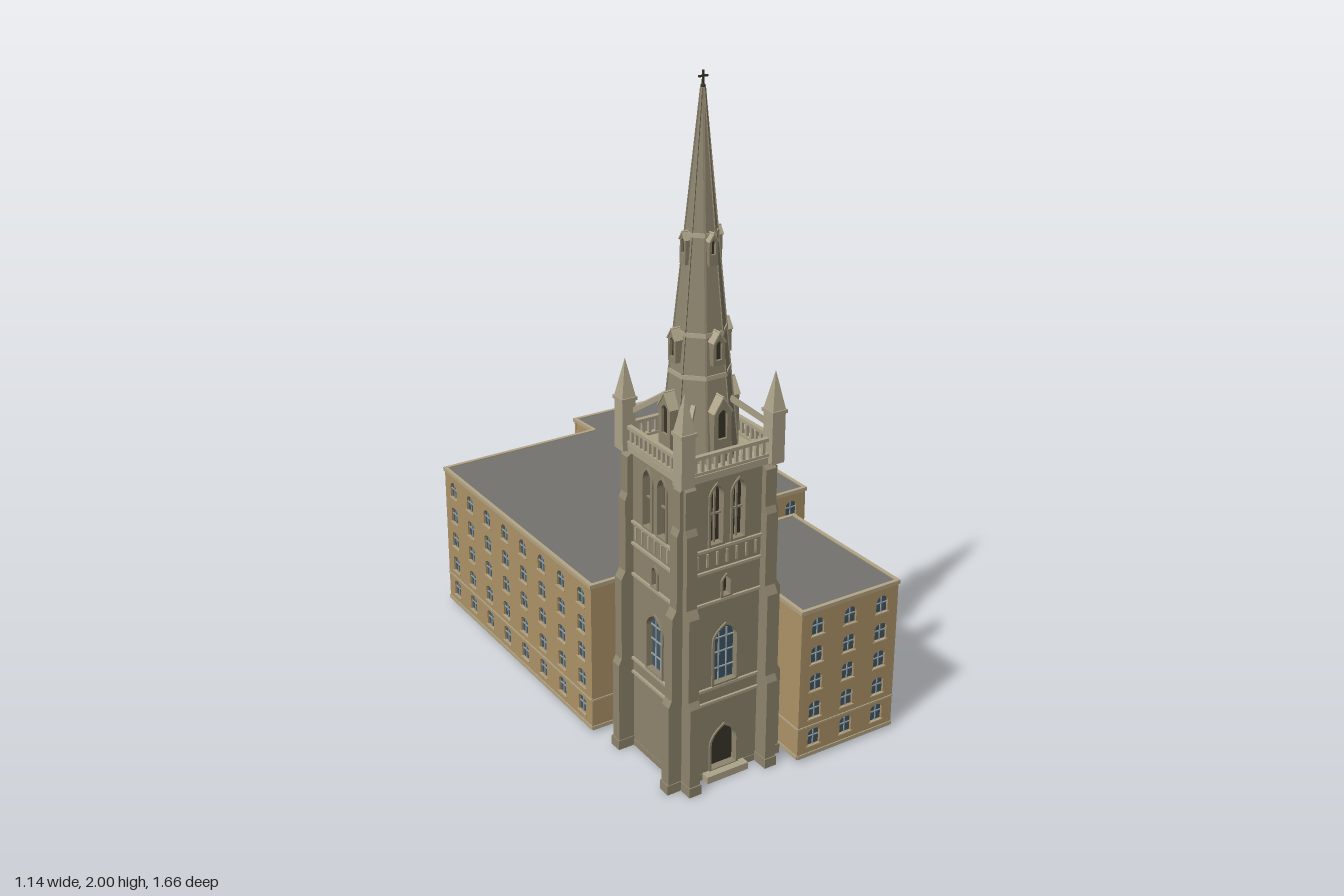
import * as THREE from 'three';
import { mergeGeometries } from 'three/addons/utils/BufferGeometryUtils.js';

const mat = (color, side = THREE.FrontSide) => new THREE.MeshStandardMaterial({ color, side, flatShading: true });
const M = {
  brick: mat(0xae9468), cornice: mat(0xb3a585), roof: mat(0x747370, THREE.DoubleSide),
  glass: mat(0x3f5768, THREE.DoubleSide), bars: mat(0x9aa3a3), stone: mat(0x8f866f),
  trim: mat(0xaea48a), dark: mat(0x39342a, THREE.DoubleSide),
};
const TURN = 0.288; // the whole plan is turned on the site

function box(w, h, d, x = 0, y = 0, z = 0) {
  return new THREE.BoxGeometry(w, h, d).translate(x, y, z);
}
// Joins a list of geometries into one named mesh
function add(parent, name, material, list) {
  const flat = list.map(g => (g.index ? g.toNonIndexed() : g));
  const mesh = new THREE.Mesh(mergeGeometries(flat), material);
  mesh.name = name;
  parent.add(mesh);
  return mesh;
}
function extrude(shape, depth, z = 0) {
  return new THREE.ExtrudeGeometry(shape, { depth, bevelEnabled: false, curveSegments: 6 }).translate(0, 0, z);
}
// Arched outline: o = { x, y, w, h, rise, pointed }, y is the sill
function arch(Kind, { x, y, w, h, rise, pointed }, grow = 0) {
  const p = new Kind(), r = w / 2 + grow, s = y + h - rise, top = y + h + grow;
  p.moveTo(x - r, y - grow);
  p.lineTo(x + r, y - grow);
  p.lineTo(x + r, s);
  if (pointed) {
    p.quadraticCurveTo(x + r, s + rise * 0.6, x, top);
    p.quadraticCurveTo(x - r, s + rise * 0.6, x - r, s);
  } else p.absellipse(x, s, r, top - s, 0, Math.PI, false);
  p.closePath();
  return p;
}
// Wall panel with arched holes, its outside at z = 0
function panel(x0, x1, y0, y1, openings, depth) {
  const s = new THREE.Shape();
  s.moveTo(x0, y0); s.lineTo(x1, y0); s.lineTo(x1, y1); s.lineTo(x0, y1); s.closePath();
  s.holes = openings.map(o => arch(THREE.Path, o));
  return extrude(s, depth, -depth);
}
const pane = (o, z) => new THREE.ShapeGeometry(arch(THREE.Shape, o), 6).translate(0, 0, z);
function frame(o, grow, depth) {
  const s = arch(THREE.Shape, o, grow);
  s.holes = [arch(THREE.Path, o)];
  return extrude(s, depth, -0.001);
}

// ---- Office block ----
const PLAN = [[-0.297, 0.441], [0.114, 0.323], [0.231, 0.751], [0.563, 0.655], [0.419, 0.179], [0.24, 0.231],
  [0.205, 0.1], [0.524, 0.009], [0.279, -0.825], [-0.057, -0.729], [-0.017, -0.62], [-0.563, -0.458]];

function facade(a, b, blank) {
  const g = new THREE.Group(), dx = b[0] - a[0], dz = b[1] - a[1], L = Math.hypot(dx, dz);
  g.name = 'facade';
  g.position.set(a[0], 0, a[1]);
  g.rotation.y = Math.atan2(-dz, dx);
  const windows = [], n = Math.max(1, Math.round(L / 0.122));
  for (let i = 0; i < n && !blank; i++)
    for (let r = 0; r < 5; r++)
      windows.push({ x: (i + 0.5) * L / n, y: 0.044 + r * 0.091, w: 0.042, h: 0.054, rise: r === 4 ? 0.02 : 0.012 });
  add(g, 'wall', M.brick, [panel(0, L, 0.01, 0.494, windows, 0.01)]);
  add(g, 'cornice', M.cornice, [
    box(L + 0.008, 0.012, 0.012, L / 2, 0.492, -0.002), box(L, 0.005, 0.006, L / 2, 0.112, 0),
    box(L, 0.012, 0.006, L / 2, 0.017, 0)]);
  if (blank) return g;
  add(g, 'windowPanes', M.glass, windows.map(o => pane(o, -0.007)));
  add(g, 'windowBars', M.bars, windows.flatMap(o => [
    box(0.003, o.h, 0.003, o.x, o.y + o.h / 2, -0.005), box(o.w, 0.003, 0.003, o.x, o.y + o.h * 0.55, -0.005)]));
  add(g, 'windowSills', M.cornice, windows.map(o => box(o.w + 0.008, 0.004, 0.006, o.x, o.y - 0.002, 0)));
  return g;
}

function officeBlock() {
  const g = new THREE.Group();
  g.name = 'officeBlock';
  PLAN.forEach((a, i) => g.add(facade(a, PLAN[(i + 1) % PLAN.length], i < 2)));
  const roof = new THREE.Shape(PLAN.map(([x, z]) => new THREE.Vector2(x, -z)));
  add(g, 'roof', M.roof, [new THREE.ShapeGeometry(roof).rotateX(-Math.PI / 2).translate(0, 0.495, 0)]);
  // Plant rooms on the roof
  for (const [x, z, w, d, top] of [[0.245, -0.347, 0.182, 0.123, 0.565], [0.057, 0.026, 0.09, 0.09, 0.535]])
    add(g, 'plantRoom', M.roof, [box(w, top - 0.49, d).rotateY(TURN).translate(x, (top + 0.49) / 2, z)]);
  return g;
}

// ---- Church tower ----
const HALF = 0.14;

function towerSide(k) {
  const g = new THREE.Group();
  g.name = 'towerSide';
  g.rotation.y = k * Math.PI / 2;
  const face = new THREE.Group();
  face.name = 'towerFace';
  face.position.z = HALF;
  g.add(face);
  const belfry = [-0.036, 0.036].map(x => ({ x, y: 0.745, w: 0.04, h: 0.175, rise: 0.035, pointed: true }));
  const slit = { x: 0, y: 0.578, w: 0.024, h: 0.06, rise: 0.018, pointed: true };
  const tall = { x: 0, y: 0.305, w: 0.075, h: 0.18, rise: 0.045, pointed: true };
  const door = { x: 0, y: 0.025, w: 0.085, h: 0.135, rise: 0.055, pointed: true };
  const hasWindow = k === 0 || k === 3, hasDoor = k === 0;
  const openings = [...belfry, slit, ...(hasWindow ? [tall] : []), ...(hasDoor ? [door] : [])];
  add(face, 'towerWall', M.stone, [panel(-HALF, HALF, 0, 0.95, openings, 0.022)]);
  add(face, 'archSurrounds', M.stone, openings.map(o => frame(o, 0.007, 0.006)));
  add(face, 'darkOpenings', M.dark, openings.filter(o => o !== tall).map(o => pane(o, -0.018)));
  add(face, 'belfryTracery', M.stone, belfry.flatMap(o => [box(0.005, o.h, 0.006, o.x, o.y + o.h / 2, -0.011),
    box(o.w, 0.005, 0.006, o.x, o.y + 0.085, -0.011)]));
  if (hasWindow) {
    add(face, 'tallWindow', M.glass, [pane(tall, -0.015)]);
    add(face, 'tallWindowBars', M.bars, [
      ...[-0.013, 0.013].map(x => box(0.003, 0.165, 0.004, x, 0.385, -0.012)),
      ...[0.345, 0.395, 0.44].map(y => box(0.075, 0.003, 0.004, 0, y, -0.012))]);
  }
  if (hasDoor) add(face, 'doorStep', M.trim, [box(0.14, 0.022, 0.03, 0, 0.011, 0.012)]);
  // String courses and the ribbed frieze below the belfry
  add(face, 'stringCourses', M.trim, [
    ...[0.25, 0.295, 0.568, 0.665, 0.732].map(y => box(0.285, 0.008, 0.014, 0, y, 0)),
    ...[-3, -2, -1, 0, 1, 2, 3].map(i => box(0.006, 0.04, 0.008, i * 0.032, 0.7, 0))]);
  // Stepped buttress pair
  const steps = [[-0.01, 0], [0.05, 0], [0.05, 0.28], [0.04, 0.3], [0.04, 0.555], [0.026, 0.58],
    [0.026, 0.8], [0.018, 0.82], [0.018, 0.93], [-0.01, 0.95]];
  const profile = new THREE.Shape(steps.map(p => new THREE.Vector2(...p)));
  const feet = [-1, 1].map(s => s * 0.13);
  add(face, 'buttresses', M.stone, feet.map(x => extrude(profile, 0.034, -0.017).rotateY(-Math.PI / 2).translate(x, 0, 0)));
  add(face, 'buttressFeet', M.stone, feet.map(x => box(0.04, 0.03, 0.06, x, 0.015, 0.024)));
  // Parapet balustrade
  const rail = [box(0.3, 0.01, 0.014, 0, 1.015, 0.005), box(0.3, 0.008, 0.014, 0, 0.97, 0.005)];
  for (let i = -5; i <= 5; i++) rail.push(box(0.009, 0.05, 0.009, i * 0.022, 0.992, 0.005));
  add(face, 'balustrade', M.trim, rail);

  // Corner pinnacle with its flying strut to the spire
  const c = 0.145, strut = box(0.012, 0.014, 0.135).rotateX(0.55).rotateY(Math.PI / 4).translate(0.1, 1.085, 0.1);
  add(g, 'pinnacle', M.trim, [box(0.042, 0.15, 0.042, c, 1.02, c), box(0.05, 0.01, 0.05, c, 1.095, c),
    new THREE.ConeGeometry(0.03, 0.11, 4).rotateY(Math.PI / 4).translate(c, 1.155, c)]);
  add(g, 'flyingStrut', M.trim, [strut]);

  // Gabled dormers climbing the spire: base y, width, height, front distance, depth
  for (const [y, w, h, out, depth] of [[0.965, 0.056, 0.185, 0.112, 0.05], [1.235, 0.036, 0.09, 0.09, 0.05], [1.5, 0.026, 0.085, 0.058, 0.035]]) {
    const r = w / 2, eave = y + h - w * 0.75;
    const gable = new THREE.Shape([[-r, y], [r, y], [r, eave], [0, y + h], [-r, eave]].map(p => new THREE.Vector2(...p)));
    const lo = Math.max(y + 0.012, eave - w * 1.35);
    const hole = { x: 0, y: lo, w: w * 0.5, h: eave + w * 0.15 - lo, rise: w * 0.3, pointed: true };
    gable.holes = [arch(THREE.Path, hole)];
    add(g, 'spireDormer', M.stone, [extrude(gable, depth, out - depth)]);
    add(g, 'dormerOpening', M.dark, [pane(hole, out - 0.008)]);
    // Coping along the two gable slopes
    const len = Math.hypot(r, w * 0.75), tilt = Math.atan2(w * 0.75, r);
    add(g, 'dormerCoping', M.trim, [-1, 1].map(s => box(len + 0.006, 0.004, depth)
      .rotateZ(-s * tilt).translate(s * r / 2, (eave + y + h) / 2 + 0.002, out - depth / 2 + 0.003)));
  }
  return g;
}

function octagon(top, bottom, y0, y1) {
  return new THREE.CylinderGeometry(top, bottom, y1 - y0, 8).rotateY(Math.PI / 8).translate(0, (y0 + y1) / 2, 0);
}

function tower() {
  const g = new THREE.Group();
  g.name = 'churchTower';
  g.position.set(-0.028, 0, 0.597);
  g.rotation.y = TURN;
  for (let k = 0; k < 4; k++) g.add(towerSide(k));
  add(g, 'towerFloor', M.stone, [box(0.284, 0.02, 0.284, 0, 0.01, 0)]);
  add(g, 'parapetDeck', M.trim, [box(0.3, 0.02, 0.3, 0, 0.953, 0)]);
  // Octagonal spire with banding
  const radius = y => 0.004 + (1.965 - y) * 0.104;
  add(g, 'spire', M.stone, [octagon(0.004, radius(0.96), 0.96, 1.965)]);
  add(g, 'spireBands', M.trim, [1.2, 1.315, 1.58].map(y => octagon(radius(y) + 0.003, radius(y) + 0.004, y - 0.006, y + 0.006)));
  // Ribs on the eight spire edges
  const ribs = [];
  for (let i = 0; i < 8; i++) {
    const lean = Math.atan(0.104), len = 1.0;
    ribs.push(box(0.005, len, 0.005).rotateX(-lean).translate(0, 1.46, radius(1.46)).rotateY(Math.PI / 8 + i * Math.PI / 4));
  }
  add(g, 'spireRibs', M.stone, ribs);
  add(g, 'spireCross', M.dark, [box(0.005, 0.045, 0.005, 0, 1.9775, 0), box(0.028, 0.005, 0.005, 0, 1.985, 0),
    new THREE.SphereGeometry(0.007, 8, 6).translate(0, 1.96, 0)]);
  return g;
}

export function createModel() {
  const model = new THREE.Group();
  model.name = 'churchTowerAndOffices';
  model.add(officeBlock(), tower());
  return model;
}
